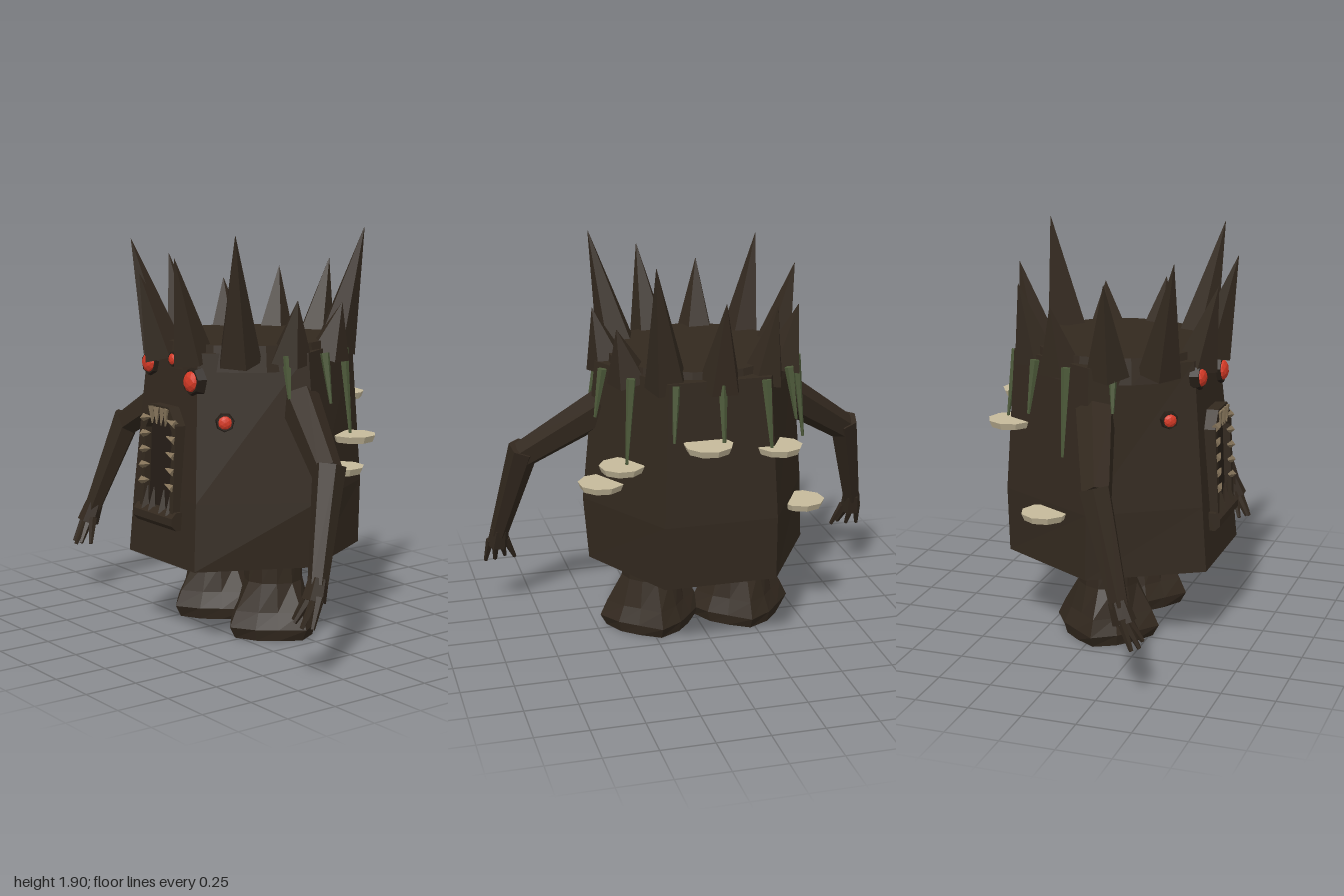
import * as THREE from 'three';

const mat = (name, color) => {
  const m = new THREE.MeshStandardMaterial({ color });
  m.name = name;
  return m;
};
const V = (x, y, z) => new THREE.Vector3(x, y, z);
const UP = V(0, 1, 0), FRONT = V(0, 0, 1);

// Faceted normals for the low-poly look
function facet(geo) {
  const g = geo.index ? geo.toNonIndexed() : geo;
  g.computeVertexNormals();
  return g;
}

// Skin over stacked rings of points, capped at both ends
function loft(rings) {
  const pos = [], n = rings[0].length;
  const tri = (...p) => p.forEach((v) => pos.push(v.x, v.y, v.z));
  const mid = (r) => r.reduce((s, p) => s.add(p), V(0, 0, 0)).divideScalar(n);
  const first = rings[0], last = rings[rings.length - 1];
  for (let i = 0; i < n; i++) {
    const j = (i + 1) % n;
    for (let k = 0; k < rings.length - 1; k++) {
      const a = rings[k], b = rings[k + 1];
      tri(a[i], a[j], b[j]);
      tri(a[i], b[j], b[i]);
    }
    tri(mid(last), last[i], last[j]);
    tri(mid(first), first[j], first[i]);
  }
  const g = new THREE.BufferGeometry();
  g.setAttribute('position', new THREE.Float32BufferAttribute(pos, 3));
  return g;
}

export function createModel() {
  const model = new THREE.Group();
  const bark = mat('bark', 0x33291f);
  const limbBark = mat('limb bark', 0x32281e);
  const dark = mat('mouth dark', 0x261e17);
  const red = mat('eye red', 0xd63a26);
  const tooth = mat('tooth tan', 0x85745a);
  const moss = mat('vine green', 0x4d5a3a);
  const fungus = mat('fungus cream', 0xc6ba9b);

  const add = (parent, name, geo, material) => {
    const m = new THREE.Mesh(facet(geo), material);
    m.name = name;
    parent.add(m);
    return m;
  };
  // Tapered piece running from a to b
  const limb = (parent, name, a, b, r1, r2, sides, material) => {
    const d = b.clone().sub(a);
    const m = add(parent, name, new THREE.CylinderGeometry(r2, r1, d.length(), sides), material);
    m.position.copy(a).add(b).multiplyScalar(0.5);
    m.quaternion.setFromUnitVectors(UP, d.normalize());
    return m;
  };
  const group = (name) => {
    const g = new THREE.Group();
    g.name = name;
    model.add(g);
    return g;
  };

  // Six-sided trunk
  const hex = (y, fl, fr, fz, l, r, b, bz) => [
    V(fr, y, fz), V(r, y, 0.04), V(b, y, bz), V(-b, y, bz), V(l, y, 0.04), V(fl, y, fz)];
  add(model, 'trunk', loft([
    hex(0.37, -0.26, 0.28, 0.535, -0.55, 0.53, 0.27, -0.445),
    hex(0.68, -0.25, 0.26, 0.51, -0.54, 0.555, 0.27, -0.455),
    hex(1.36, -0.21, 0.195, 0.45, -0.49, 0.485, 0.24, -0.42),
  ]), bark);
  const top = add(model, 'trunkTop', new THREE.CylinderGeometry(0.42, 0.44, 0.12, 22), bark);
  top.position.set(0, 1.335, 0.03);

  // Crown of splinters, given by their tips
  const crown = group('crown');
  [[0.43, 1.9, 0.41], [0.16, 1.79, 0.55], [-0.14, 1.7, 0.54], [-0.41, 1.84, 0.41],
    [-0.52, 1.75, 0.12], [-0.45, 1.62, -0.16], [-0.28, 1.68, -0.38], [-0.01, 1.73, -0.48],
    [0.3, 1.9, -0.44], [0.43, 1.57, -0.2], [0.48, 1.6, 0.1]].forEach(([x, y, z]) => {
    const a = Math.atan2(x, z - 0.03);
    const base = V(Math.sin(a) * 0.415, 1.32, 0.03 + Math.cos(a) * 0.415);
    limb(crown, 'splinter', base, V(x, y, z), 0.105, 0.001, 5, bark);
  });

  // Arms with clawed hands
  for (const s of [-1, 1]) {
    const arm = group(s > 0 ? 'leftArm' : 'rightArm');
    const p = (x, y, z) => V(s * x, y, z);
    const wrist = p(0.925, 0.42, 0.335);
    limb(arm, 'upperArm', p(0.43, 1.14, 0.05), p(0.81, 0.875, 0.19), 0.095, 0.07, 6, limbBark);
    limb(arm, 'forearm', p(0.81, 0.91, 0.18), wrist, 0.075, 0.045, 6, limbBark);
    limb(arm, 'palm', p(0.92, 0.45, 0.325), p(0.93, 0.355, 0.36), 0.045, 0.055, 6, limbBark);
    [[0.985, 0.25, 0.41], [0.935, 0.245, 0.43], [0.885, 0.26, 0.43], [0.84, 0.26, 0.4]].forEach(([x, y, z], i) =>
      limb(arm, 'finger', p(0.965 - i * 0.025, 0.38, 0.355), p(x, y, z), 0.022, 0.01, 5, limbBark));
  }

  // Stump legs spreading into root toes
  for (const s of [-1, 1]) {
    const ring = (y, r, lobe) => Array.from({ length: 12 }, (_, i) => {
      const a = (i / 12) * Math.PI * 2;
      const q = r + (i % 3 === 0 ? lobe : i % 3 === 1 ? 0 : -lobe * 0.3);
      return V(s * 0.225 + Math.sin(a) * q, y, 0.04 + Math.cos(a) * q);
    });
    add(model, s > 0 ? 'leftLeg' : 'rightLeg', loft([
      ring(0, 0.2, 0.025), ring(0.055, 0.215, 0.04), ring(0.13, 0.18, 0.04),
      ring(0.26, 0.14, 0.005), ring(0.42, 0.133, 0)]), limbBark);
  }

  // Eyes in knot sockets, turned to the face they sit on
  const eyes = group('eyes');
  [[-0.17, 1.28, 0.455, 0.048, 0], [0.02, 1.315, 0.452, 0.028, 0], [0.18, 1.23, 0.46, 0.05, 0],
    [-0.3, 1.1, 0.36, 0.032, -1], [0.3, 1.05, 0.375, 0.033, 1]].forEach(([x, y, z, r, side]) => {
    const eye = new THREE.Group();
    eye.name = 'eye';
    eye.position.set(x, y, z);
    eye.quaternion.setFromUnitVectors(FRONT, V(side * 0.83, 0.07, side ? 0.55 : 1).normalize());
    const socket = add(eye, 'socket', new THREE.CylinderGeometry(r * 1.2, r * 1.5, 0.04, 7), dark);
    socket.rotation.x = Math.PI / 2;
    const ball = add(eye, 'eyeball', new THREE.IcosahedronGeometry(r, 1), red);
    ball.scale.z = 0.6;
    ball.position.z = 0.015;
    eyes.add(eye);
  });

  // Arched mouth, tilted with the front of the trunk
  const mouth = group('mouth');
  mouth.position.set(0, 0.6, 0.46);
  mouth.rotation.x = -0.05;
  const arch = (C, w, h) => {
    const c = new C();
    c.moveTo(-w, 0);
    c.lineTo(w, 0);
    c.lineTo(w, h - 0.08);
    c.lineTo(w * 0.55, h);
    c.lineTo(-w * 0.55, h);
    c.lineTo(-w, h - 0.08);
    c.closePath();
    return c;
  };
  const frame = arch(THREE.Shape, 0.138, 0.5);
  frame.holes.push(arch(THREE.Path, 0.108, 0.465));
  add(mouth, 'mouthFrame', new THREE.ExtrudeGeometry(frame, { depth: 0.095, bevelEnabled: false }), bark);
  const throat = add(mouth, 'throat', new THREE.ShapeGeometry(arch(THREE.Shape, 0.125, 0.48)), dark);
  throat.position.z = 0.06;
  for (let i = 0; i < 5; i++) {
    for (const s of [-1, 1]) {
      const y = 0.13 + i * 0.074;
      limb(mouth, 'sideTooth', V(s * 0.13, y, 0.092), V(s * 0.066, y + 0.012, 0.096), 0.022, 0.003, 4, tooth);
    }
  }
  [-0.062, -0.02, 0.022, 0.064].forEach((x) =>
    limb(mouth, 'upperTooth', V(x, 0.49, 0.092), V(x * 0.85, 0.41, 0.096), 0.02, 0.003, 4, tooth));
  [-0.1, -0.045, 0.04, 0.1].forEach((x) =>
    limb(mouth, 'lowerFang', V(x, 0, 0.085), V(x * 0.95, 0.11, 0.08), 0.026, 0.003, 4, bark));

  // Log-like lower lip
  const lip = add(model, 'lowerLip', new THREE.CylinderGeometry(0.046, 0.046, 0.32, 8), bark);
  lip.rotation.set(Math.PI / 8, 0, Math.PI / 2);
  lip.position.set(-0.005, 0.583, 0.53);

  // Hanging vines: x, z and length
  const vines = group('vines');
  [[0.48, 0.15, 0.19], [0.5, -0.07, 0.23], [0.4, -0.27, 0.42], [0.22, -0.44, 0.26], [0, -0.48, 0.31],
    [-0.23, -0.45, 0.32], [-0.4, -0.28, 0.25], [-0.5, -0.08, 0.41], [-0.48, 0.15, 0.19]].forEach(([x, z, len]) =>
    limb(vines, 'vine', V(x * 0.94, 1.35, z * 0.94), V(x * 1.02, 1.35 - len, z * 1.02), 0.023, 0.007, 5, moss));

  // Shelf fungi: x, y, z and radius
  const fungi = group('shelfFungi');
  [[0.43, 0.93, -0.275, 0.108], [0.5, 0.805, -0.14, 0.112], [0.075, 1.07, -0.49, 0.115],
    [-0.28, 1.015, -0.425, 0.11], [-0.475, 0.64, -0.185, 0.112]].forEach(([x, y, z, r], i) => {
    const f = add(fungi, 'fungus', new THREE.CylinderGeometry(r, r * 0.88, 0.032, 9), fungus);
    f.position.set(x, y, z);
    f.rotation.y = i * 1.3;
  });

  return model;
}
